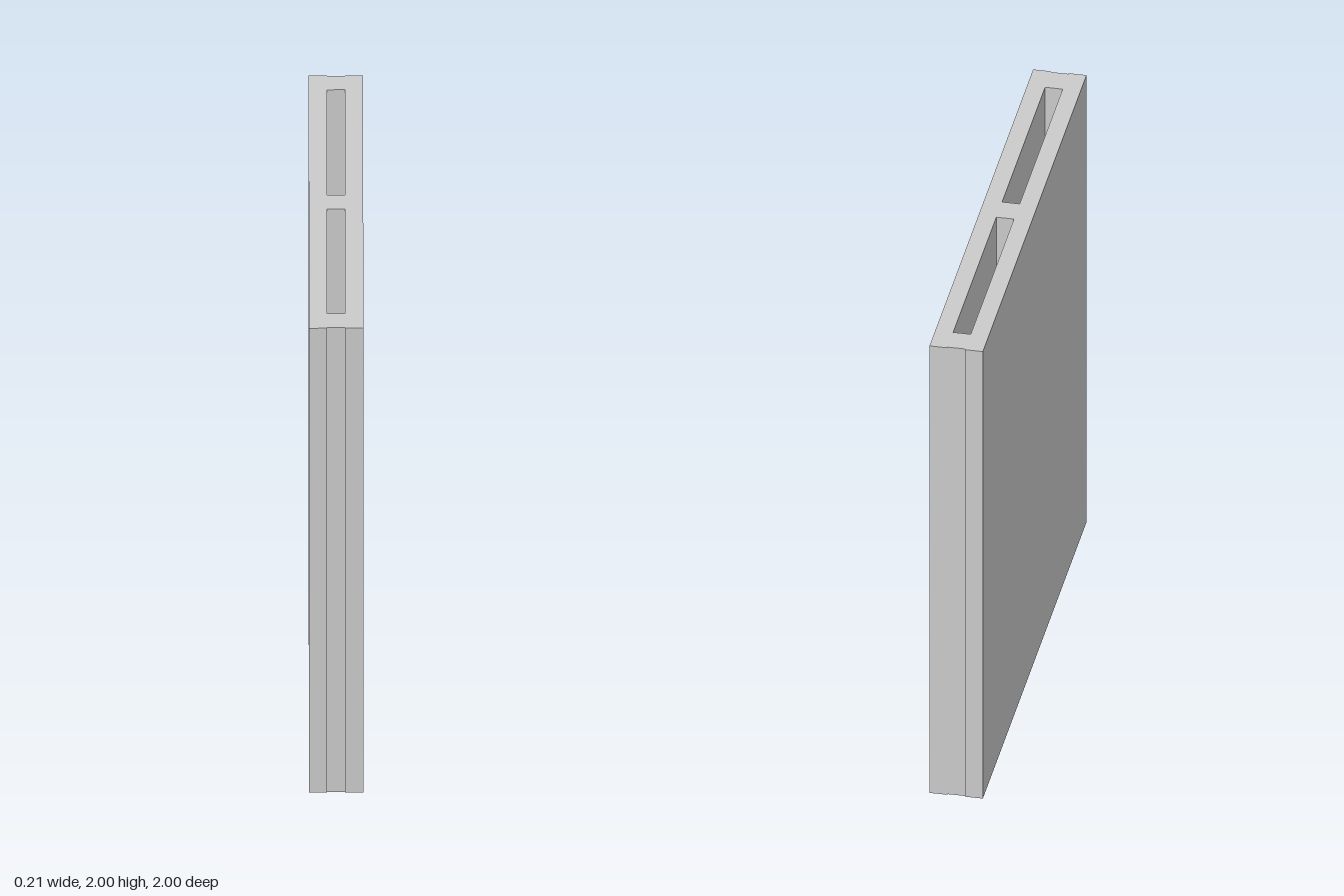
import * as THREE from 'three';

export function createModel() {
  const model = new THREE.Group();
  model.name = 'hollowWallPanel';
  const material = new THREE.MeshStandardMaterial({ color: 0xcccccc, flatShading: true });

  const half = 0.103;  // half of the whole thickness
  const inner = 0.034; // half of the cavity between the boards

  function addBox(name, x0, x1, z0, z1) {
    const mesh = new THREE.Mesh(new THREE.BoxGeometry(x1 - x0, 2, z1 - z0), material);
    mesh.name = name;
    mesh.position.set((x0 + x1) / 2, 1, (z0 + z1) / 2);
    model.add(mesh);
  }

  // Two facing boards
  addBox('leftBoard', inner, half, -1, 1);
  addBox('rightBoard', -half, -inner, -1, 1);

  // Upright studs between the boards, the end ones set in slightly
  addBox('frontStud', -inner, inner, 0.885, 0.995);
  addBox('middleStud', -inner, inner, -0.055, 0.055);
  addBox('backStud', -inner, inner, -0.995, -0.888);

  return model;
}
